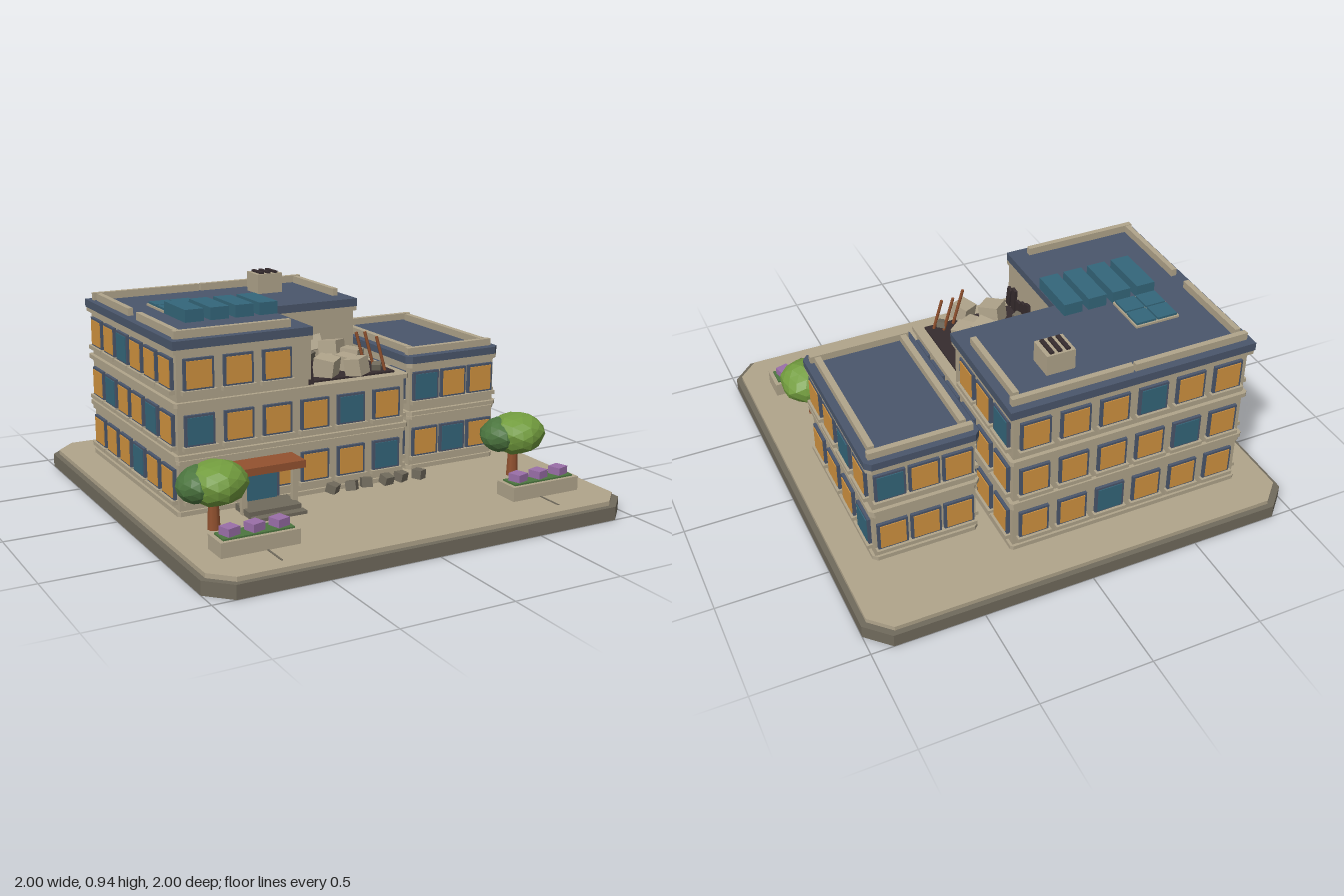
import * as THREE from 'three';

const mat = (name, color) => Object.assign(new THREE.MeshStandardMaterial({ color }), { name });

export function createModel() {
  const M = {
    stone: mat('paleStone', 0xb0a48b), dark: mat('darkStone', 0x706a5c), slate: mat('slateBlue', 0x4a566b),
    glow: mat('litGlass', 0xd0923f), teal: mat('tealGlass', 0x34667a), rust: mat('rust', 0x93522f),
    leaf: mat('leaf', 0x729c3e), moss: mat('darkLeaf', 0x4c763f), bloom: mat('bloom', 0x9a6fa8), char: mat('charred', 0x362c2e),
  };
  const model = new THREE.Group();
  model.name = 'damagedOfficeBuilding';

  const group = (name, parent = model) => {
    const g = new THREE.Group();
    g.name = name;
    parent.add(g);
    return g;
  };
  const add = (parent, name, geo, m, x = 0, y = 0, z = 0) => {
    const mesh = new THREE.Mesh(geo, m);
    mesh.name = name;
    mesh.position.set(x, y, z);
    parent.add(mesh);
    return mesh;
  };
  // box given by its limits on each axis
  const box = (parent, name, m, x0, x1, y0, y1, z0, z1) => add(parent, name,
    new THREE.BoxGeometry(x1 - x0, y1 - y0, z1 - z0), m, (x0 + x1) / 2, (y0 + y1) / 2, (z0 + z1) / 2);
  // upright prism over a plan outline of [x, z] points
  const prism = (parent, name, m, pts, y0, y1) => {
    const shape = new THREE.Shape(pts.map(([x, z]) => new THREE.Vector2(x, -z)));
    const geo = new THREE.ExtrudeGeometry(shape, { depth: y1 - y0, bevelEnabled: false });
    return add(parent, name, geo.rotateX(-Math.PI / 2), m, 0, y0, 0);
  };
  const chamfered = (x0, x1, z0, z1, c) => [[x0 + c, z0], [x1 - c, z0], [x1, z0 + c], [x1, z1 - c],
    [x1 - c, z1], [x0 + c, z1], [x0, z1 - c], [x0, z0 + c]];
  let seed = 7;
  const rnd = () => (seed = (seed * 16807) % 2147483647) / 2147483647;

  // Ground slab with paving
  const ground = group('ground');
  prism(ground, 'slab', M.dark, chamfered(-1, 1, -1, 1, 0.1), 0, 0.06);
  prism(ground, 'paving', M.stone, chamfered(-0.975, 0.975, -0.975, 0.975, 0.09), 0.06, 0.08);
  for (const x of [-0.665, 0.66]) box(ground, 'pavingSeam', M.dark, x - 0.004, x + 0.004, 0.078, 0.083, 0.57, 0.91);

  // One window: frame, glass, lintel and sill, facing +z
  const windowUnit = (parent, x, y, teal) => {
    const w = group('window', parent);
    w.position.set(x, y, 0);
    box(w, 'frame', M.slate, -0.068, 0.068, -0.068, 0.068, -0.005, 0.014);
    box(w, 'glass', teal ? M.teal : M.glow, -0.057, 0.057, -0.058, 0.058, 0.01, 0.018);
    box(w, 'sill', M.stone, -0.078, 0.078, -0.084, -0.066, -0.005, 0.026);
  };
  // Rows of windows on one wall; teal[row] lists the teal columns
  const facade = (parent, name, pos, ry, xs, rows, teal, counts = []) => {
    const f = group(name, parent);
    f.position.set(...pos);
    f.rotation.y = ry;
    rows.forEach((y, r) => xs.forEach((x, i) => {
      if (!counts[r] || counts[r].includes(i)) windowUnit(f, x, y, teal[r].includes(i));
    }));
  };
  const spaced = (n, step) => Array.from({ length: n }, (_, i) => (i - (n - 1) / 2) * step);

  // Main block; the top storey is L-shaped around the collapsed corner
  const main = group('mainBlock');
  const ell = (o, cx = -0.2, cz = -0.19) => [[-0.82 - o, -0.77 - o], [0.27 + o, -0.77 - o], [0.27 + o, cz],
    [cx, cz], [cx, 0.27 + o], [-0.82 - o, 0.27 + o]];
  box(main, 'lowerStoreys', M.stone, -0.82, 0.27, 0.08, 0.57, -0.77, 0.27);
  prism(main, 'topStorey', M.stone, ell(0), 0.57, 0.795);
  for (const [y0, y1, o] of [[0.08, 0.1, 0.012], [0.305, 0.32, 0.012], [0.325, 0.345, 0.018], [0.55, 0.57, 0.018]])
    prism(main, 'stringCourse', M.stone, chamfered(-0.82 - o, 0.27 + o, -0.77 - o, 0.27 + o, 0.012), y0, y1);
  prism(main, 'topCourse', M.stone, ell(0.018), 0.775, 0.795);
  prism(main, 'roof', M.slate, ell(0.022), 0.795, 0.832);
  const mx = spaced(6, 0.18), mz = spaced(6, 0.17), rows3 = [0.21, 0.445, 0.685];
  facade(main, 'frontWindows', [-0.275, 0, 0.27], 0, mx, rows3, [[5], [0, 4], []], [, , [0, 1, 2]]);
  facade(main, 'rightWindows', [0.27, 0, -0.25], Math.PI / 2, mz, rows3, [[1], [0], [5]], [, , [3, 4, 5]]);
  facade(main, 'backWindows', [-0.275, 0, -0.77], Math.PI, mx, rows3, [[2], [4], [3]]);
  facade(main, 'leftWindows', [-0.82, 0, -0.25], -Math.PI / 2, mz, rows3, [[3], [1, 4], [2]]);
  for (const [x0, x1, z0, z1] of [[-0.82, -0.285, -0.755, -0.73], [-0.275, 0.27, -0.755, -0.73],
    [-0.81, -0.785, -0.715, -0.3], [-0.81, -0.785, -0.2, 0.225], [-0.82, -0.285, 0.228, 0.253], [0.222, 0.248, -0.715, -0.3]])
    box(main, 'parapet', M.stone, x0, x1, 0.83, 0.866, z0, z1);

  // Side wing
  const wing = group('sideWing');
  box(wing, 'walls', M.stone, 0.36, 0.82, 0.08, 0.585, -0.59, 0.18);
  for (const [y0, y1, o] of [[0.08, 0.1, 0.012], [0.32, 0.335, 0.012], [0.34, 0.358, 0.018], [0.565, 0.585, 0.018]])
    prism(wing, 'stringCourse', M.stone, chamfered(0.36 - o, 0.82 + o, -0.59 - o, 0.18 + o, 0.02), y0, y1);
  prism(wing, 'roof', M.slate, chamfered(0.338, 0.842, -0.612, 0.2, 0.025), 0.585, 0.618);
  const wx = spaced(3, 0.15), wz = spaced(4, 0.188), rows2 = [0.21, 0.475];
  facade(wing, 'frontWindows', [0.59, 0, 0.18], 0, wx, rows2, [[1], [0]]);
  facade(wing, 'rightWindows', [0.82, 0, -0.205], Math.PI / 2, wz, rows2, [[3], [2]]);
  facade(wing, 'backWindows', [0.59, 0, -0.59], Math.PI, wx, rows2, [[], [0]]);
  facade(wing, 'leftWindows', [0.36, 0, -0.205], -Math.PI / 2, wz, rows2, [[1], [3]]);
  for (const x of [0.39, 0.79]) box(wing, 'sideParapet', M.stone, x - 0.014, x + 0.014, 0.615, 0.65, -0.54, 0.125);
  for (const z of [-0.568, 0.145]) box(wing, 'endParapet', M.stone, 0.36, 0.82, 0.615, 0.65, z - 0.013, z + 0.013);

  // Collapsed corner: charred floor, broken wall edge, rubble and bent bars
  const ruin = group('collapsedCorner');
  box(ruin, 'charredFloor', M.char, -0.187, 0.242, 0.568, 0.578, -0.178, 0.237);
  for (let i = 0; i < 5; i++) {
    const h = 0.12 - 0.02 * (i % 3);
    const c = box(ruin, 'brokenEdge', M.char, -0.212, -0.186, 0.57, 0.57 + h, 0.03 + i * 0.05, 0.065 + i * 0.05);
    c.rotation.x = 0.2 - 0.1 * i;
  }
  const chunk = (parent, m, x, y, z, s, flat = 0.7) => {
    const c = add(parent, 'rubble', new THREE.BoxGeometry(s, s * flat, s), m, x, y, z);
    c.rotation.set(rnd() * 0.6 - 0.3, rnd() * 3, rnd() * 0.6 - 0.3);
  };
  for (const [x, y, z, s] of [[0, 0.67, -0.08, 0.07], [0.05, 0.65, 0, 0.09], [0.12, 0.62, 0.06, 0.085], [0.06, 0.61, 0.11, 0.075],
    [-0.07, 0.615, 0.17, 0.095], [0.05, 0.62, 0.23, 0.08], [-0.02, 0.61, 0.08, 0.06], [0.08, 0.61, -0.02, 0.08]])
    chunk(ruin, M.stone, x, y, z, s, 0.95);
  for (const [x, z, s] of [[-0.03, -0.13, 0.08], [0.14, -0.1, 0.075], [-0.1, 0.02, 0.04], [-0.17, 0.11, 0.035], [0.17, 0.2, 0.04]])
    chunk(ruin, M.dark, x, 0.6, z, s);
  for (const [x, z, h] of [[0.09, 0.2, 0.19], [0.15, 0.17, 0.18], [0.19, 0.2, 0.16]]) {
    const bar = add(ruin, 'bentBar', new THREE.CylinderGeometry(0.007, 0.007, h, 6), M.rust, x, 0.575 + h / 2, z);
    bar.rotation.set(-0.12, 0, 0.22);
  }
  [-0.11, -0.02, 0.06, 0.16, 0.24, 0.33].forEach((x, i) =>
    chunk(ruin, M.dark, x, 0.102, 0.305 + 0.01 * (i % 2), 0.048, 0.85));

  // Rooftop equipment
  const gear = group('roofEquipment');
  for (const x of [-0.603, -0.483, -0.364, -0.247])
    box(gear, 'roofUnit', M.teal, x - 0.044, x + 0.044, 0.828, 0.888, -0.28, -0.04);
  box(gear, 'panelFrame', M.stone, -0.648, -0.438, 0.83, 0.842, -0.492, -0.285);
  for (const x of [-0.594, -0.492]) for (const z of [-0.438, -0.338])
    box(gear, 'solarPanel', M.teal, x - 0.047, x + 0.047, 0.84, 0.852, z - 0.046, z + 0.046);
  box(gear, 'ventBox', M.stone, -0.073, 0.057, 0.83, 0.926, -0.63, -0.51);
  for (const x of [-0.045, -0.008, 0.029]) box(gear, 'ventSlot', M.char, x - 0.009, x + 0.009, 0.92, 0.935, -0.62, -0.52);

  // Entrance
  const entry = group('entrance');
  box(entry, 'canopy', M.rust, -0.615, -0.295, 0.252, 0.285, 0.26, 0.402);
  box(entry, 'doorSurround', M.slate, -0.54, -0.37, 0.08, 0.25, 0.26, 0.3);
  box(entry, 'door', M.teal, -0.525, -0.385, 0.09, 0.24, 0.295, 0.307);
  for (const x of [-0.575, -0.335]) box(entry, 'post', M.stone, x - 0.012, x + 0.012, 0.08, 0.252, 0.36, 0.384);
  box(entry, 'upperStep', M.dark, -0.58, -0.335, 0.08, 0.108, 0.3, 0.438);
  box(entry, 'lowerStep', M.dark, -0.58, -0.335, 0.08, 0.094, 0.452, 0.492);

  // Faceted foliage blob
  const blob = (parent, name, m, r, sy, x, y, z) => {
    const geo = new THREE.IcosahedronGeometry(r, 2);
    const p = geo.attributes.position, v = new THREE.Vector3();
    for (let i = 0; i < p.count; i++) {
      v.fromBufferAttribute(p, i);
      v.multiplyScalar(1 + 0.06 * Math.sin(v.x * 41 + v.y * 23) * Math.cos(v.z * 37 + v.y * 19));
      p.setXYZ(i, v.x, v.y * sy, v.z);
    }
    geo.computeVertexNormals();
    add(parent, name, geo, m, x, y, z);
  };
  // Trees and flower planters on both sides of the forecourt
  for (const [tx, px] of [[-0.755, -0.692], [0.735, 0.688]]) {
    const tree = group('tree');
    add(tree, 'trunk', new THREE.CylinderGeometry(0.02, 0.028, 0.16, 7), M.rust, tx, 0.16, 0.472);
    blob(tree, 'canopy', M.leaf, 0.128, 0.73, tx + 0.018, 0.275, 0.468);
    blob(tree, 'shadedCanopy', M.moss, 0.098, 0.8, tx - 0.05, 0.272, 0.45);
    const planter = group('planter');
    box(planter, 'trough', M.stone, px - 0.173, px + 0.173, 0.08, 0.143, 0.663, 0.787);
    box(planter, 'greenery', M.moss, px - 0.155, px + 0.155, 0.14, 0.15, 0.681, 0.769);
    for (const dx of [-0.108, 0, 0.108])
      box(planter, 'flower', M.bloom, px + dx - 0.03, px + dx + 0.03, 0.145, 0.184, 0.695, 0.755).rotation.y = 0.3;
  }
  return model;
}
